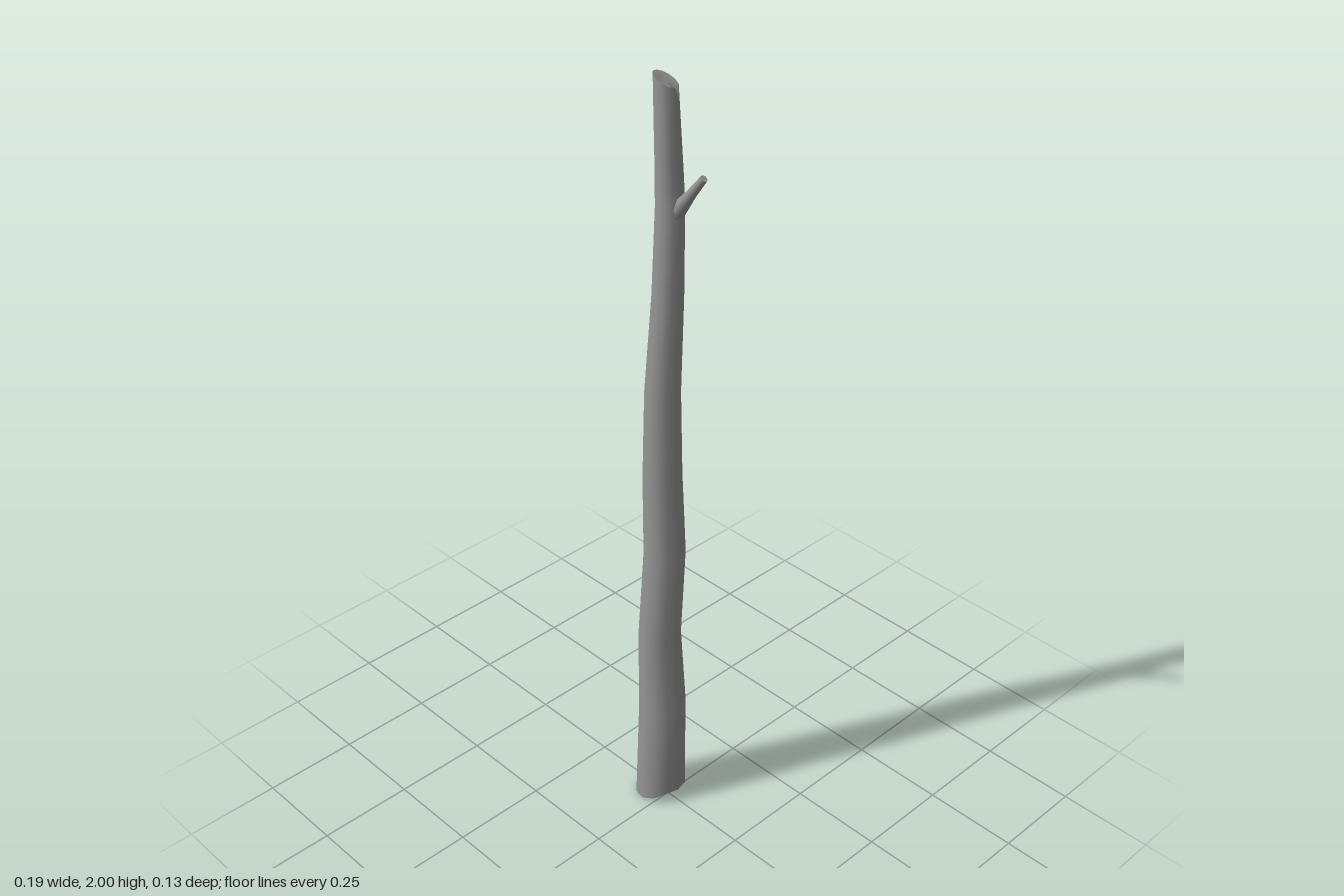
import * as THREE from 'three';

const SIDES = 12;
const material = new THREE.MeshStandardMaterial({ color: 0x959595 });

// Trunk cross-sections from the ground up: y, centre x, centre z, radius
const RINGS = [
  [0.035, -0.029, -0.001, 0.067],
  [0.30, -0.025, -0.004, 0.062],
  [0.53, -0.029, 0.001, 0.055],
  [0.78, -0.020, -0.008, 0.053],
  [1.00, -0.024, -0.005, 0.049],
  [1.23, -0.024, -0.006, 0.044],
  [1.48, -0.014, -0.013, 0.038],
  [1.70, -0.010, -0.016, 0.034],
  [1.78, -0.013, -0.016, 0.032],
  [1.985, -0.017, -0.010, 0.028],
];
const TOP = RINGS.length - 1;

// Broken ends: the foot dips in front and is notched behind; the top slants and is chipped
function endShift(ring, i) {
  const a = i / SIDES * Math.PI * 2;
  if (ring === 0) return i === 9 ? 0.03 : -0.035 * Math.max(0, Math.cos(a - Math.PI * 2 / 3));
  if (ring === TOP) return 0.015 * Math.cos(a - Math.PI * 5 / 6) - (i === 11 ? 0.022 : 0);
  return 0;
}

function ringPoint(ring, i) {
  const a = i / SIDES * Math.PI * 2;
  const [y, cx, cz, r] = RINGS[ring];
  return [cx + r * Math.cos(a), y + endShift(ring, i), cz + r * Math.sin(a)];
}

function meshFrom(name, positions, index) {
  const geometry = new THREE.BufferGeometry();
  geometry.setAttribute('position', new THREE.Float32BufferAttribute(positions.flat(), 3));
  geometry.setIndex(index);
  geometry.computeVertexNormals();
  const mesh = new THREE.Mesh(geometry, material);
  mesh.name = name;
  return mesh;
}

// Bark wall through all rings
function buildTrunk() {
  const positions = [], index = [];
  RINGS.forEach((_, k) => {
    for (let i = 0; i < SIDES; i++) positions.push(ringPoint(k, i));
  });
  for (let k = 0; k < TOP; k++) {
    for (let i = 0; i < SIDES; i++) {
      const j = (i + 1) % SIDES;
      const a = k * SIDES + i, b = k * SIDES + j;
      index.push(a, a + SIDES, b, b, a + SIDES, b + SIDES);
    }
  }
  return meshFrom('trunk', positions, index);
}

// Fan closing one end of the trunk, with its centre raised or lowered
function buildEnd(name, ring, lift, up) {
  const [y, cx, cz] = RINGS[ring];
  const positions = [[cx, y + lift, cz]], index = [];
  for (let i = 0; i < SIDES; i++) {
    positions.push(ringPoint(ring, i));
    const a = i + 1, b = (i + 1) % SIDES + 1;
    index.push(0, ...(up ? [b, a] : [a, b]));
  }
  return meshFrom(name, positions, index);
}

// Short tapering twig, rooted inside the trunk
function buildTwig() {
  const from = new THREE.Vector3(0.003, 1.682, -0.016);
  const to = new THREE.Vector3(0.087, 1.791, -0.021);
  const axis = to.clone().sub(from);
  const length = axis.length();
  const profile = [[0.021, 0], [0.017, 0.3], [0.012, 0.6], [0.009, 1]]
    .map(([r, t]) => new THREE.Vector2(r, t * length));
  const twig = new THREE.Group();
  twig.name = 'twig';
  const stem = new THREE.Mesh(new THREE.LatheGeometry(profile, 7), material);
  stem.name = 'twigStem';
  const tip = new THREE.Mesh(new THREE.CircleGeometry(0.009, 7, -Math.PI / 2), material);
  tip.name = 'twigEnd';
  tip.rotation.x = -Math.PI / 2;
  tip.position.y = length;
  twig.add(stem, tip);
  twig.position.copy(from);
  twig.quaternion.setFromUnitVectors(new THREE.Vector3(0, 1, 0), axis.normalize());
  return twig;
}

export function createModel() {
  const model = new THREE.Group();
  model.name = 'treeTrunk';
  model.add(
    buildTrunk(),
    buildEnd('foot', 0, 0.012, false),
    buildEnd('brokenTop', TOP, -0.004, true),
    buildTwig(),
  );
  return model;
}
